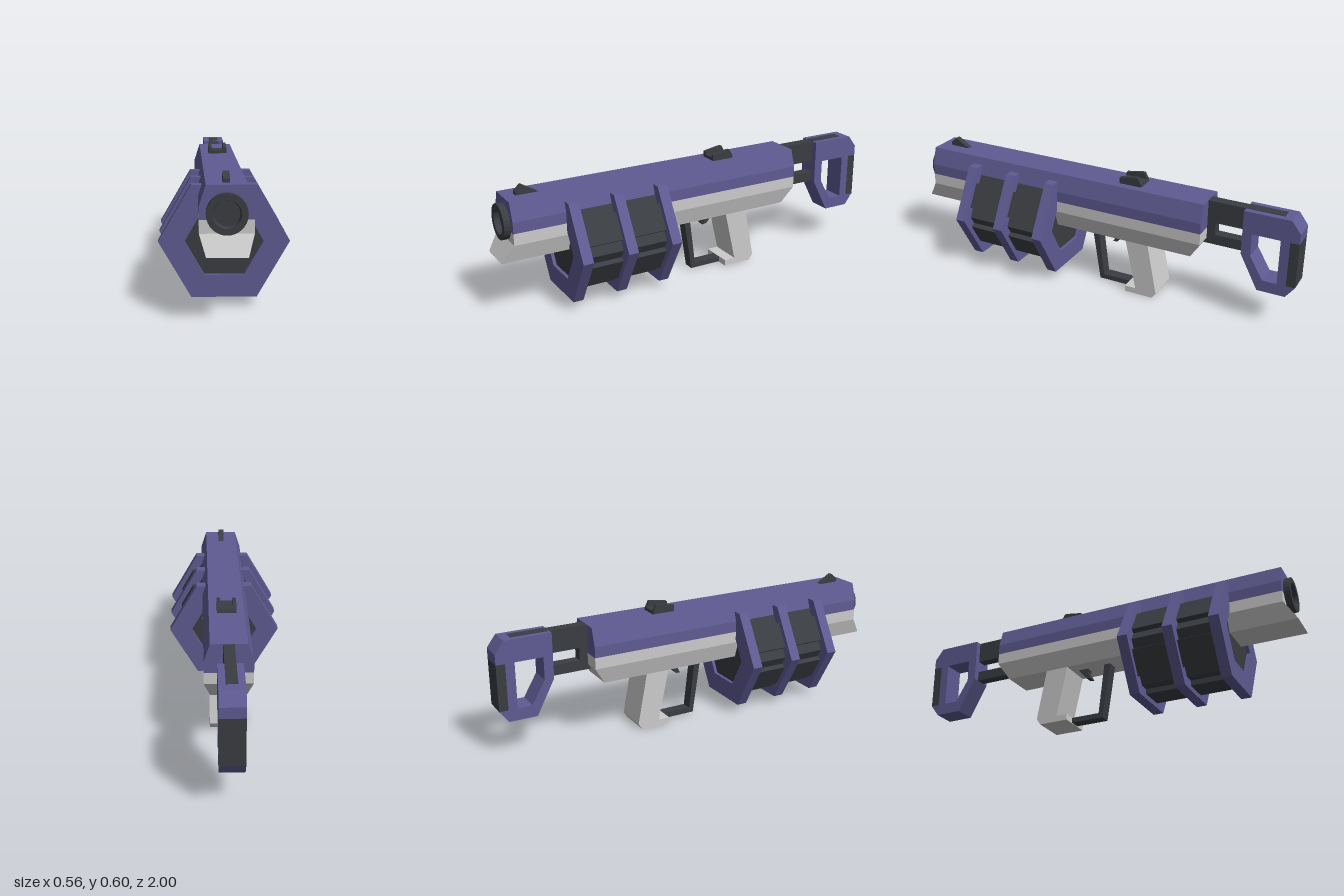
import * as THREE from 'three';

const makeMat = (color) => new THREE.MeshStandardMaterial({ color, flatShading: true });

export function createModel() {
  const model = new THREE.Group();
  const purple = makeMat(0x5f5b93);
  const dark = makeMat(0x3a3d42);
  const grey = makeMat(0xcccccc);

  const add = (name, geometry, material, parent = model) => {
    const mesh = new THREE.Mesh(geometry, material);
    mesh.name = name;
    parent.add(mesh);
    return mesh;
  };
  const toShape = (pts) => new THREE.Shape(pts.map(([a, b]) => new THREE.Vector2(a, b)));
  const extrude = (pts, depth, hole) => {
    const shape = toShape(pts);
    if (hole) shape.holes.push(toShape(hole));
    return new THREE.ExtrudeGeometry(shape, { depth, bevelEnabled: false, curveSegments: 1 });
  };
  // Side outline in (z, y), given a thickness across x
  const side = (pts, width, x = 0, hole) =>
    extrude(pts, width, hole).translate(0, 0, -width / 2).rotateY(-Math.PI / 2).translate(x, 0, 0);
  // Front outline in (x, y), running from z0 to z1
  const along = (pts, z0, z1, hole) => extrude(pts, z1 - z0, hole).translate(0, 0, z0);
  const hexagon = (r, cy = 0.28) => Array.from({ length: 6 }, (_, i) => {
    const a = (i * Math.PI) / 3;
    return [r * Math.cos(a), cy + r * Math.sin(a)];
  });

  // Receiver: bevelled upper shell and lower shell with slanted ends
  const zBack = -0.555, zFront = 0.945;
  add('upperShell', along([[-0.11, 0.42], [0.11, 0.42], [0.11, 0.473], [0.083, 0.558],
    [-0.083, 0.558], [-0.11, 0.473]], zBack, zFront), purple);
  add('lowerShellBand', along([[-0.11, 0.365], [0.11, 0.365], [0.11, 0.42], [-0.11, 0.42]],
    zBack, zFront), grey);
  const keel = along([[-0.083, 0.28], [0.083, 0.28], [0.11, 0.365], [-0.11, 0.365]], zBack, zFront);
  const p = keel.attributes.position;
  for (let i = 0; i < p.count; i++) if (p.getY(i) < 0.3) p.setZ(i, p.getZ(i) + 0.055);
  keel.computeVertexNormals();
  add('lowerShellKeel', keel, grey);

  // Muzzle ring with a recessed bore
  const muzzle = new THREE.LatheGeometry([[0.083, -0.03], [0.083, 0.03], [0.057, 0.03],
    [0.052, 0.003], [0, 0.003]].map(([r, y]) => new THREE.Vector2(r, y)), 32);
  muzzle.rotateX(Math.PI / 2).translate(0, 0.446, 0.945);
  const muzzleMat = dark.clone();
  muzzleMat.side = THREE.DoubleSide;
  add('muzzle', muzzle, muzzleMat);

  // Hexagonal drum with a raised panel on each face
  const drum = new THREE.Group();
  drum.name = 'drum';
  model.add(drum);
  add('drumBody', along(hexagon(0.222), 0.23, 0.665), dark, drum);
  add('drumCore', along(hexagon(0.166), 0.215, 0.68), dark, drum);
  for (let i = 0; i < 6; i++) {
    const a = ((i + 0.5) * Math.PI) / 3;
    const panel = new THREE.BoxGeometry(0.05, 0.128, 0.42).translate(0.192, 0, 0.4475)
      .rotateZ(a).translate(0, 0.28, 0);
    add('drumPanel', panel, dark, drum);
  }
  for (const z of [0.2, 0.424, 0.646]) {
    add('drumPlate', along(hexagon(0.278), z, z + 0.05, hexagon(0.167)), purple, drum);
  }

  // Grip, guard and trigger
  add('grip', side([[-0.163, 0.285], [-0.22, 0.03], [-0.163, 0.03], [-0.163, 0], [-0.31, 0],
    [-0.33, 0.03], [-0.28, 0.285]], 0.166), grey);
  add('triggerGuard', side([[0.046, 0.285], [0.003, 0.003], [-0.165, 0.003], [-0.165, 0.028],
    [-0.018, 0.028], [0.014, 0.285]], 0.055), dark);
  add('trigger', side([[-0.08, 0.285], [-0.085, 0.265], [-0.065, 0.225], [-0.088, 0.228],
    [-0.138, 0.285]], 0.04), dark);

  // Stock arm: front block with an upper and a lower bar
  add('stockArm', side([[-0.54, 0.557], [-0.75, 0.557], [-0.75, 0.45], [-0.595, 0.45],
    [-0.595, 0.39], [-0.75, 0.39], [-0.75, 0.34], [-0.54, 0.34]], 0.05), dark);
  add('stockArmRail', side([[-0.74, 0.559], [-0.915, 0.559], [-0.915, 0.53], [-0.74, 0.53]], 0.05), dark);

  // Shoulder stock frame and pad
  add('stockFrame', side([[-0.735, 0.557], [-0.957, 0.557], [-1, 0.5], [-1, 0.45], [-0.957, 0.45],
    [-0.957, 0.23], [-1, 0.23], [-0.957, 0.173], [-0.823, 0.173], [-0.735, 0.34]], 0.11, 0,
  [[-0.78, 0.45], [-0.914, 0.45], [-0.914, 0.23], [-0.845, 0.23], [-0.78, 0.34]]), purple);
  add('shoulderPad', side([[-0.957, 0.45], [-1, 0.45], [-1, 0.23], [-0.957, 0.23]], 0.11), dark);

  // Sights
  add('frontSight', side([[0.89, 0.55], [0.89, 0.575], [0.86, 0.602], [0.785, 0.558], [0.785, 0.55]],
    0.028), dark);
  add('rearSightBase', side([[-0.11, 0.55], [-0.11, 0.573], [-0.22, 0.573], [-0.225, 0.55]], 0.09), dark);
  for (const s of [-1, 1]) {
    add('rearSightProng', side([[-0.11, 0.555], [-0.11, 0.588], [-0.19, 0.602], [-0.205, 0.602],
      [-0.22, 0.573], [-0.22, 0.555]], 0.017, s * 0.0365), dark);
  }
  return model;
}
